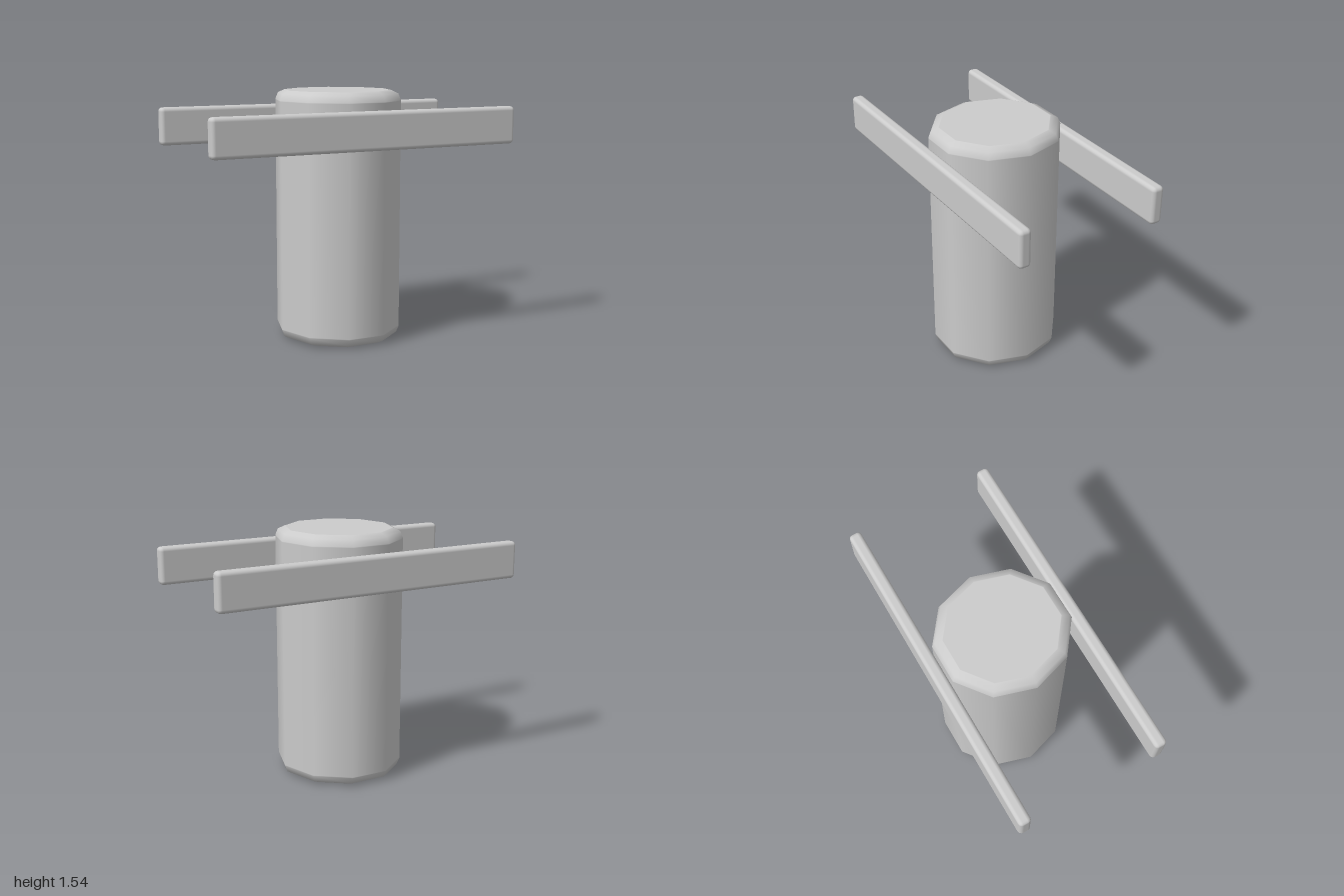
import * as THREE from 'three';
import { RoundedBoxGeometry } from 'three/addons/geometries/RoundedBoxGeometry.js';

const HEIGHT = 1.54;
const RADIUS = 0.385;

export function createModel() {
  const model = new THREE.Group();
  const material = new THREE.MeshStandardMaterial({ color: 0xcccccc });

  // Ten-sided post with a two-step bevel; the doubled rings keep caps and sides flat
  const lower = [
    [0, 0], [0.323, 0], [0.327, 0.0005], [0.369, 0.02], [RADIUS, 0.06], [RADIUS, 0.065],
  ];
  const upper = lower.map(([r, y]) => [r, HEIGHT - y]).reverse();
  const profile = [...lower, ...upper].map(([r, y]) => new THREE.Vector2(r, y));
  const postGeometry = new THREE.LatheGeometry(profile, 10, Math.PI / 2);
  postGeometry.scale(1, 1, 1.052); // slightly deeper than wide
  const post = new THREE.Mesh(postGeometry, material);
  post.name = 'post';
  model.add(post);

  // Matching crossbars in front of and behind the post
  const barGeometry = new RoundedBoxGeometry(2, 0.232, 0.077, 2, 0.025);
  for (const [name, side] of [['frontBar', 1], ['backBar', -1]]) {
    const bar = new THREE.Mesh(barGeometry, material);
    bar.name = name;
    bar.position.set(0, 1.318, side * 0.431);
    model.add(bar);
  }

  return model;
}
